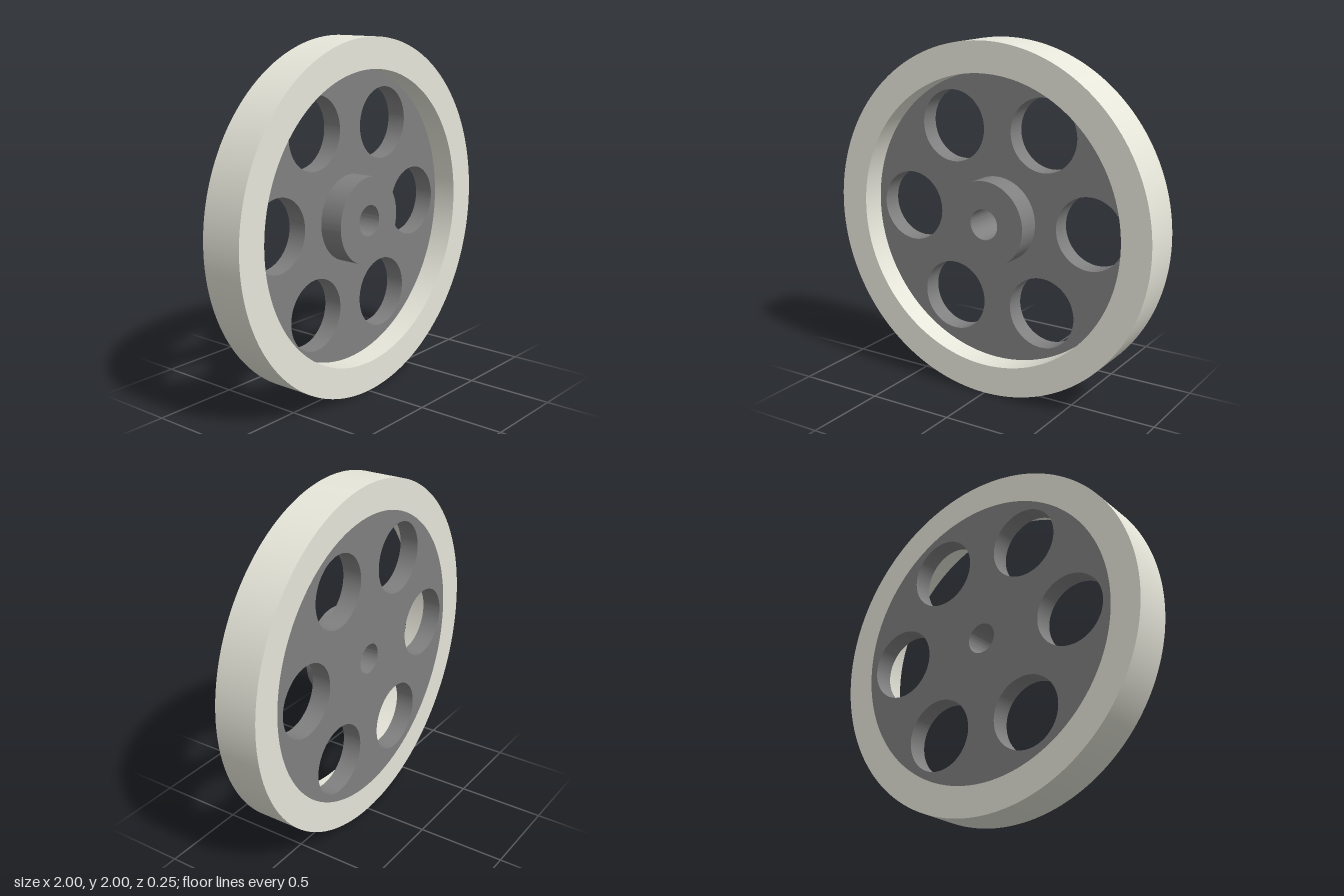
import * as THREE from 'three';
import { toCreasedNormals } from 'three/addons/utils/BufferGeometryUtils.js';

const HALF_WIDTH = 0.125;
const PLATE_FRONT = -0.0125;
const RIM_INNER = 0.828;

// Round disc from zBack to zFront with circular holes given as [x, y, radius]
function disc(name, radius, holes, zBack, zFront, material) {
  const shape = new THREE.Shape().absarc(0, 0, radius, 0, Math.PI * 2);
  for (const [x, y, r] of holes) {
    shape.holes.push(new THREE.Path().absarc(x, y, r, 0, Math.PI * 2, true));
  }
  const geometry = new THREE.ExtrudeGeometry(shape, {
    depth: zFront - zBack, bevelEnabled: false, curveSegments: 96,
  });
  const mesh = new THREE.Mesh(toCreasedNormals(geometry, Math.PI / 6), material);
  mesh.name = name;
  mesh.position.z = zBack;
  return mesh;
}

export function createModel() {
  const rimMaterial = new THREE.MeshStandardMaterial({ color: 0xe6e6da });
  const plateMaterial = new THREE.MeshStandardMaterial({ color: 0x808080 });

  const bore = [0, 0, 0.087];
  const plateHoles = [bore];
  for (let i = 0; i < 6; i++) {
    const a = (i * Math.PI) / 3;
    plateHoles.push([0.58 * Math.cos(a), 0.58 * Math.sin(a), 0.204]);
  }

  const wheel = new THREE.Group();
  wheel.name = 'wheel';
  wheel.position.y = 1;
  wheel.add(
    // Pale outer ring, full width
    disc('rim', 1, [[0, 0, RIM_INNER]], -HALF_WIDTH, HALF_WIDTH, rimMaterial),
    // Web plate, flush with the back and recessed at the front
    disc('webPlate', RIM_INNER, plateHoles, -HALF_WIDTH, PLATE_FRONT, plateMaterial),
    // Hub boss, rising from the plate to the front of the rim
    disc('hub', 0.245, [bore], PLATE_FRONT, HALF_WIDTH, plateMaterial),
  );

  const model = new THREE.Group();
  model.name = 'pulleyWheel';
  model.add(wheel);
  return model;
}
